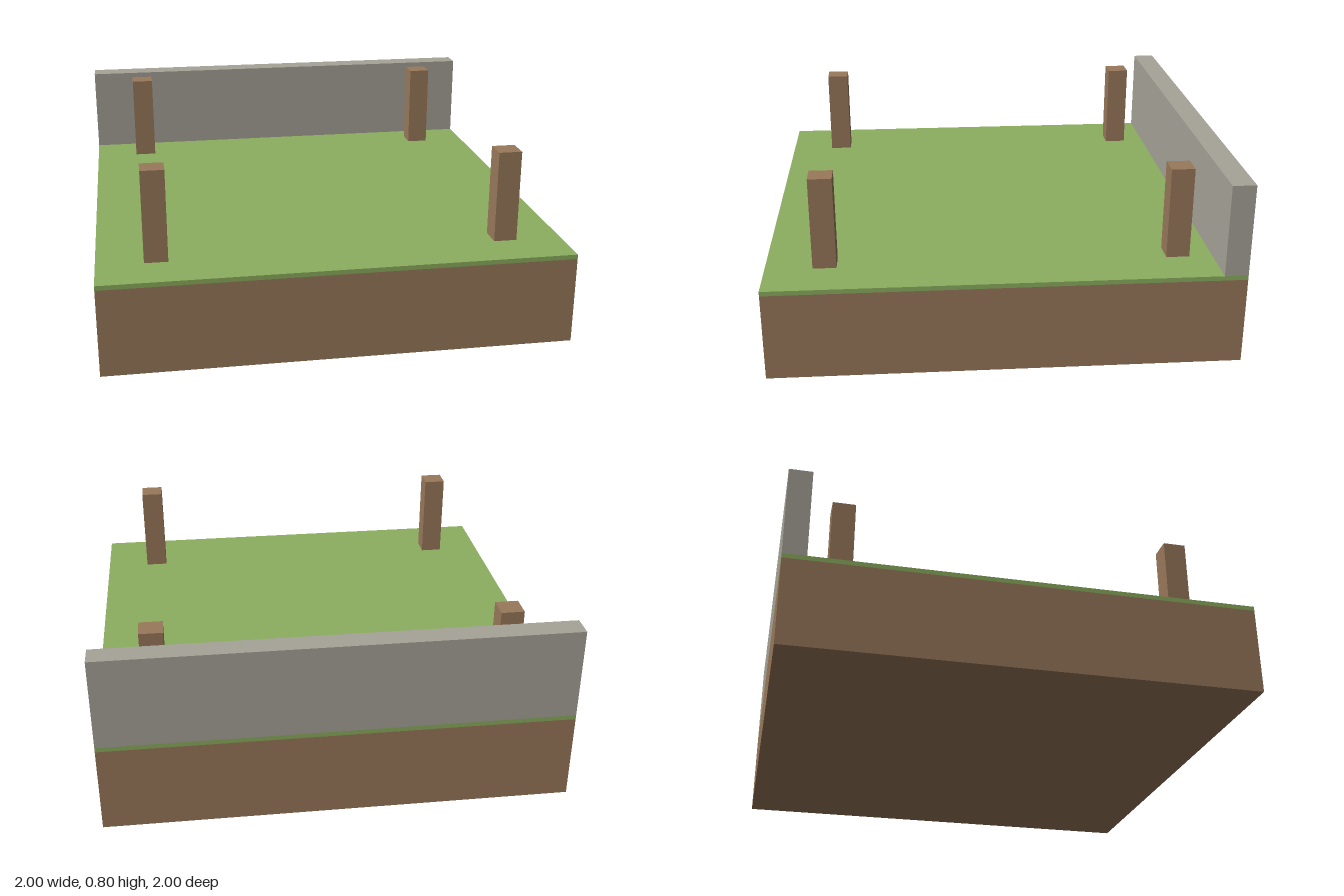
import * as THREE from 'three';

export function createModel() {
  const model = new THREE.Group();
  model.name = 'walledGardenPlot';

  const material = (name, color) => {
    const m = new THREE.MeshStandardMaterial({ color });
    m.name = name;
    return m;
  };
  const earth = material('earthBrown', 0x99795b);
  const grass = material('grassGreen', 0x8cae5f);
  const stone = material('stoneGrey', 0xa6a398);

  const TILE = 0.4, COUNT = 5, GROUND = 0.4, LIP = 0.02;
  const tileCentre = (i) => (i - (COUNT - 1) / 2) * TILE;

  // A block standing on y, with a thin top layer of its own
  function cappedBlock(name, [w, h, d], [x, y, z], bodyMaterial, capName, capMaterial) {
    const group = new THREE.Group();
    group.name = name;
    const body = new THREE.Mesh(new THREE.BoxGeometry(w, h - LIP, d), bodyMaterial);
    body.name = name + 'Body';
    body.position.y = (h - LIP) / 2;
    const cap = new THREE.Mesh(new THREE.BoxGeometry(w, LIP, d), capMaterial);
    cap.name = capName;
    cap.position.y = h - LIP / 2;
    group.add(body, cap);
    group.position.set(x, y, z);
    model.add(group);
  }

  // Ground: a square of earth tiles topped with grass
  for (let i = 0; i < COUNT; i++) {
    for (let j = 0; j < COUNT; j++) {
      cappedBlock('groundTile', [TILE, GROUND, TILE],
        [tileCentre(i), 0, tileCentre(j)], earth, 'grassTop', grass);
    }
  }

  // Stone wall along the back edge, one panel per tile
  for (let i = 0; i < COUNT; i++) {
    cappedBlock('wallPanel', [TILE, 0.4, 0.1],
      [tileCentre(i), GROUND, -0.95], stone, 'wallCoping', stone);
  }

  // Four corner posts
  for (const x of [-0.75, 0.75]) {
    for (const z of [-0.75, 0.75]) {
      cappedBlock('post', [0.1, 0.4, 0.1], [x, GROUND, z], earth, 'postCap', earth);
    }
  }

  return model;
}
